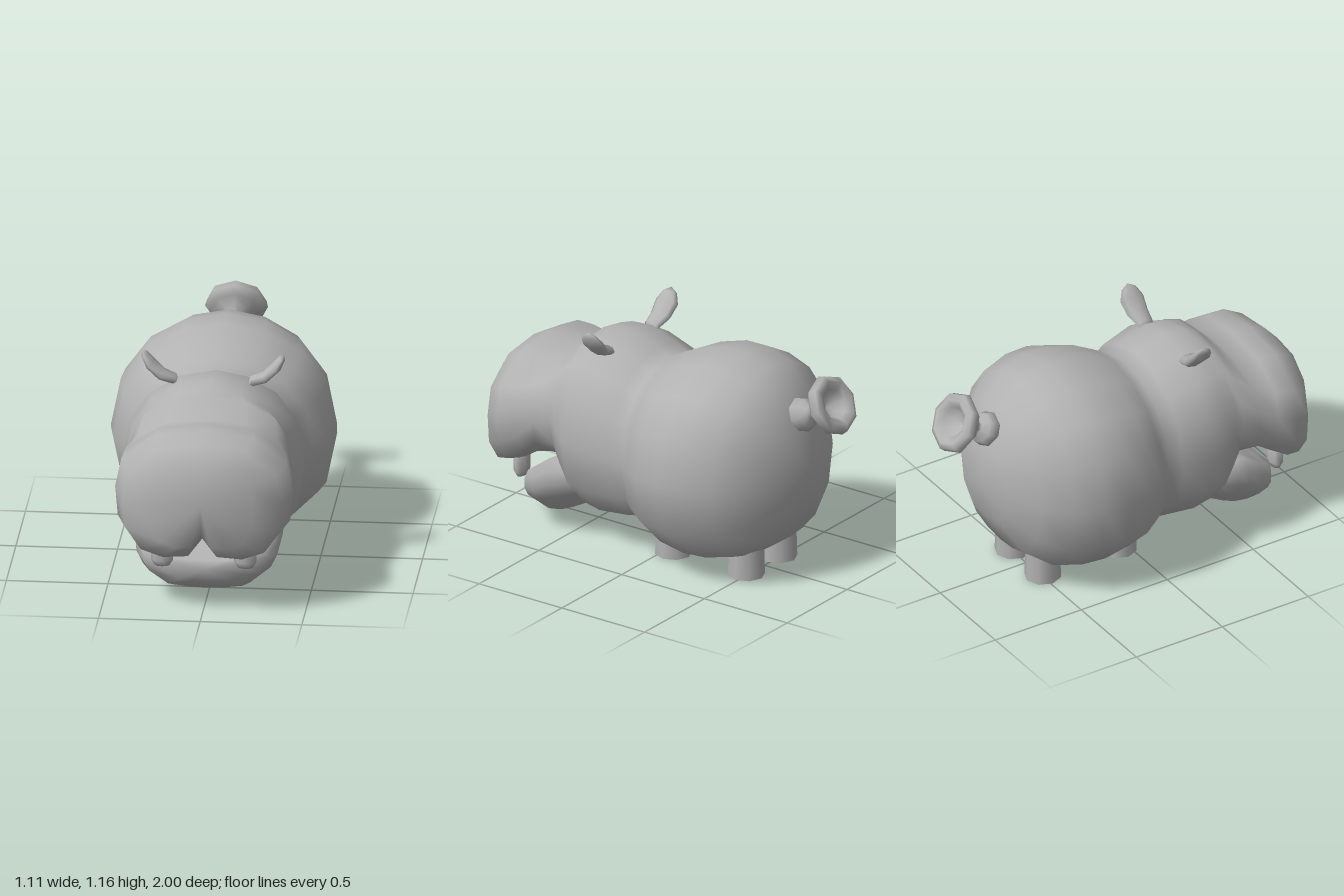
import * as THREE from 'three';
import { mergeVertices } from 'three/addons/utils/BufferGeometryUtils.js';

const hide = new THREE.MeshStandardMaterial({ color: 0xb2b2b2 });
hide.name = 'grey hide';

// Half cross-sections, top to bottom, in units of half width and half height
const BARREL = [[0, 1], [0.36, 0.93], [0.685, 0.74], [0.91, 0.42], [1, -0.06], [0.905, -0.56], [0.6, -0.89], [0.3, -0.975], [0, -1]];
const BROW = [[0, 1], [0.46, 0.93], [0.83, 0.65], [0.97, 0.25], [1, -0.15], [0.95, -0.6], [0.65, -0.95], [0.3, -0.99], [0, -0.9]];
const CLEFT = [[0, 1], [0.55, 0.9], [0.93, 0.48], [1, 0], [0.97, -0.5], [0.78, -0.87], [0.5, -1], [0.18, -0.97], [0, -0.65]];
const JAW = [[0, 0.85], [0.5, 0.9], [0.9, 1], [1, 0.65], [0.99, 0.2], [0.9, -0.25], [0.6, -0.85], [0.3, -0.96], [0, -1]];

function named(name, geometry) {
  const m = new THREE.Mesh(geometry, hide);
  m.name = name;
  return m;
}

// Skin over rings of points, each ring clockwise seen from its far end
function skin(rings) {
  const n = rings[0].length, index = [];
  for (let i = 0; i < rings.length - 1; i++) {
    for (let j = 0; j < n; j++) {
      const a = i * n + j, b = i * n + (j + 1) % n;
      index.push(a, a + n, b, b, a + n, b + n);
    }
  }
  const g = new THREE.BufferGeometry();
  g.setAttribute('position', new THREE.Float32BufferAttribute(rings.flat(2), 3));
  g.setIndex(index);
  const merged = mergeVertices(g, 1e-4);
  merged.computeVertexNormals();
  return merged;
}

// Stations are [z, bottom, top, half width, half section]
function loft(stations) {
  return skin(stations.map(([z, lo, hi, w, half]) => {
    const mirrored = half.slice(1, -1).reverse().map(([x, y]) => [-x, y]);
    return [...half, ...mirrored].map(([x, y]) => [x * w, (lo + hi) / 2 + y * (hi - lo) / 2, z]);
  }));
}

// Leaf-shaped ear swept along a curve bending outward
function earGeometry() {
  const path = [ // x, y, thickness, half width, direction of the thickness
    [0.17, 0.99, 0.004, 0.03, 1.9], [0.19, 1.012, 0.024, 0.045, 1.9], [0.255, 1.035, 0.027, 0.058, 2.1],
    [0.31, 1.09, 0.027, 0.066, 2.4], [0.338, 1.135, 0.018, 0.04, 2.6], [0.347, 1.157, 0, 0, 2.6]];
  return skin(path.map(([x, y, t, w, a]) => {
    const ring = [];
    for (let j = 0; j < 8; j++) {
      const u = j * Math.PI / 4, d = Math.cos(u) * t;
      ring.push([x + Math.cos(a) * d, y + Math.sin(a) * d, 0.312 - Math.sin(u) * w]);
    }
    return ring;
  }));
}

export function createModel() {
  const model = new THREE.Group();
  model.name = 'hippo';

  // Barrel body, head and split upper muzzle in one skin
  model.add(named('bodyAndHead', loft([
    [-0.77, 0.58, 0.58, 0, BARREL], [-0.742, 0.37, 0.8, 0.2, BARREL], [-0.65, 0.19, 0.98, 0.365, BARREL],
    [-0.53, 0.105, 1.075, 0.49, BARREL], [-0.38, 0.07, 1.11, 0.543, BARREL], [-0.25, 0.065, 1.105, 0.557, BARREL],
    [-0.1, 0.085, 1.06, 0.53, BARREL], [0, 0.125, 1.01, 0.465, BARREL], [0.075, 0.16, 0.97, 0.405, BARREL],
    [0.14, 0.15, 1.0, 0.432, BARREL], [0.3, 0.135, 1.055, 0.45, BARREL], [0.41, 0.15, 1.048, 0.428, BARREL],
    [0.47, 0.25, 1.025, 0.405, BARREL], [0.51, 0.41, 0.99, 0.392, BROW], [0.6, 0.41, 0.905, 0.41, BROW],
    [0.7, 0.385, 0.922, 0.425, CLEFT], [0.8, 0.32, 0.922, 0.437, CLEFT], [0.89, 0.29, 0.88, 0.39, CLEFT],
    [0.96, 0.365, 0.8, 0.26, CLEFT], [1, 0.6, 0.6, 0, CLEFT]])));

  // Lower jaw, hanging open
  model.add(named('lowerJaw', loft([
    [0.3, 0.22, 0.42, 0.3, JAW], [0.41, 0.158, 0.43, 0.355, JAW], [0.5, 0.108, 0.425, 0.365, JAW],
    [0.57, 0.075, 0.41, 0.36, JAW], [0.65, 0.062, 0.35, 0.35, JAW], [0.73, 0.08, 0.29, 0.305, JAW],
    [0.785, 0.13, 0.25, 0.21, JAW], [0.8, 0.2, 0.2, 0, JAW]])));

  // Legs, tusks and ears on both sides
  for (const s of [1, -1]) {
    const side = s > 0 ? 'left' : 'right';
    for (const [name, z] of [['FrontLeg', -0.05], ['RearLeg', -0.49]]) {
      const leg = named(side + name, new THREE.CylinderGeometry(0.085, 0.092, 0.24, 8));
      leg.position.set(s * 0.135, 0.12, z);
      model.add(leg);
    }
    const tooth = named(side + 'Tooth', new THREE.LatheGeometry(
      [[0, 0], [0.036, 0], [0.055, 0.03], [0.055, 0.14], [0, 0.15]].map(p => new THREE.Vector2(...p)), 8));
    tooth.scale.z = 0.6;
    tooth.position.set(s * 0.205, 0.222, 0.815);
    model.add(tooth);
  }
  const ear = earGeometry();
  model.add(named('leftEar', ear));
  // Mirrored copy for the other ear
  const rightEar = named('rightEar', ear);
  rightEar.scale.x = -1;
  model.add(rightEar);

  // Tail: round stub and flared trumpet end
  const profile = [[0, -0.055], [0.06, -0.048], [0.09, -0.01], [0.075, 0.035], [0.035, 0.055], [0.035, 0.075], [0.075, 0.14],
    [0.125, 0.152], [0.155, 0.185], [0.147, 0.222], [0.115, 0.237], [0.078, 0.21], [0.055, 0.165], [0, 0.15]];
  const tail = named('tail', new THREE.LatheGeometry(profile.map(p => new THREE.Vector2(...p)), 8));
  tail.position.set(0, 0.87, -0.737);
  tail.rotation.x = -1.07;
  model.add(tail);

  return model;
}
